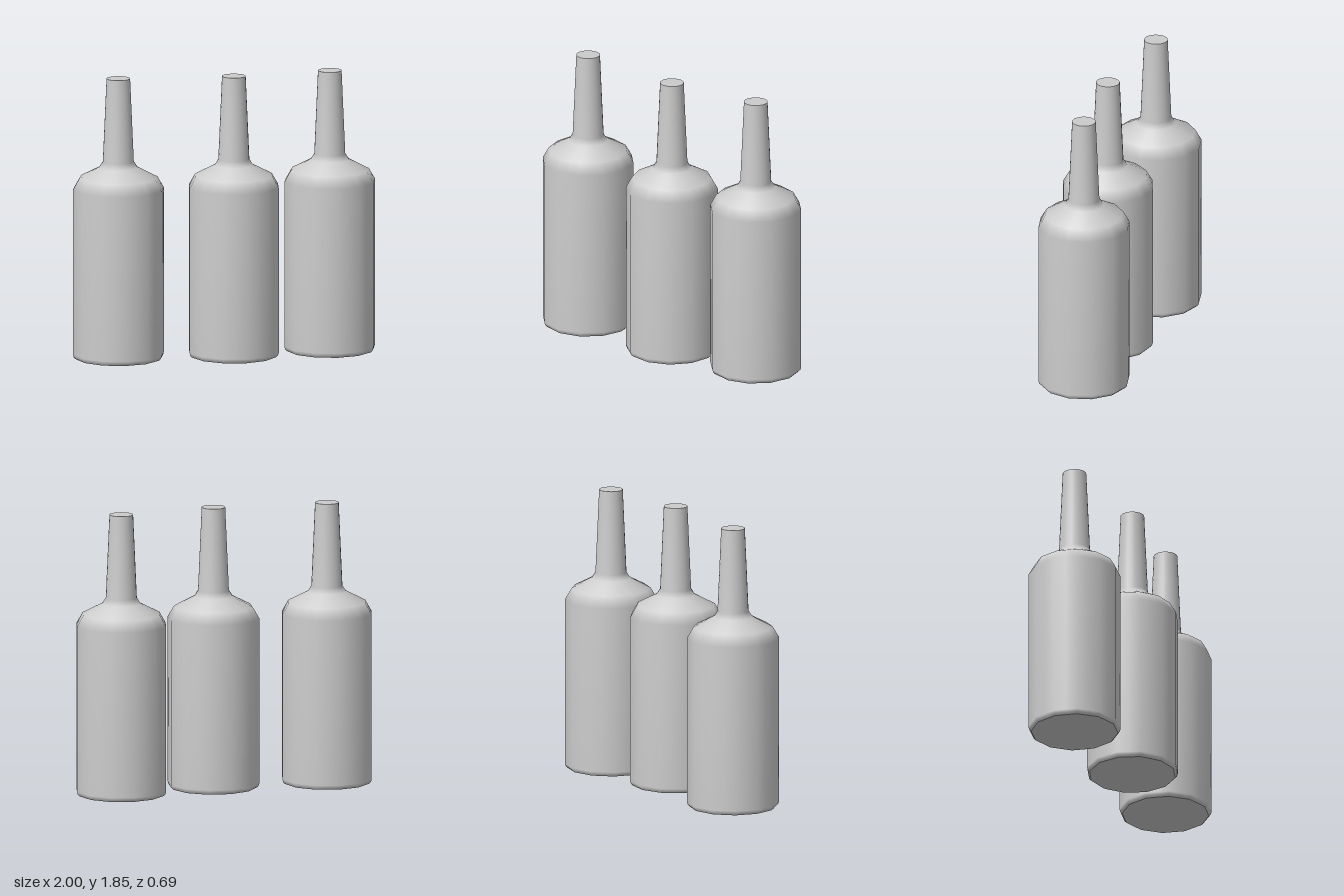
import * as THREE from 'three';

const SIDES = 12;
const material = new THREE.MeshStandardMaterial({ color: 0xcccccc });

// Lathe with a round neck and a 12-sided body: on wide rings every
// second vertex is pulled in to the middle of a straight side.
function turned(name, profile) {
  const points = profile.map(([r, y]) => new THREE.Vector2(r, y));
  const geometry = new THREE.LatheGeometry(points, SIDES * 2);
  const pos = geometry.attributes.position;
  const pull = Math.cos(Math.PI / SIDES);
  for (let i = 0; i < pos.count; i++) {
    const step = Math.floor(i / points.length);
    const radius = points[i % points.length].x;
    if (step % 2 === 1 && radius > 0.14) {
      pos.setX(i, pos.getX(i) * pull);
      pos.setZ(i, pos.getZ(i) * pull);
    }
  }
  const mesh = new THREE.Mesh(geometry, material);
  mesh.name = name;
  return mesh;
}

function createBottle() {
  const bottle = new THREE.Group();
  bottle.add(
    turned('base', [[0, 0], [0.283, 0]]),
    // wall, rounded shoulder and tapering neck
    turned('bottleWall', [
      [0.283, 0], [0.295, 0.012], [0.3, 0.03], [0.3, 1.12], [0.258, 1.193],
      [0.125, 1.262], [0.101, 1.3], [0.077, 1.85],
    ]),
    turned('neckTop', [[0.077, 1.85], [0, 1.85]]),
  );
  return bottle;
}

export function createModel() {
  const group = new THREE.Group();
  group.name = 'bottles';
  // x, z, turn about the upright axis
  const places = [
    ['rightBottle', -0.7, -0.047, -0.06],
    ['middleBottle', 0.05, 0.04, 0.07],
    ['leftBottle', 0.7, -0.005, -0.045],
  ];
  for (const [name, x, z, turn] of places) {
    const bottle = createBottle();
    bottle.name = name;
    bottle.position.set(x, 0, z);
    bottle.rotation.y = turn;
    group.add(bottle);
  }
  return group;
}
